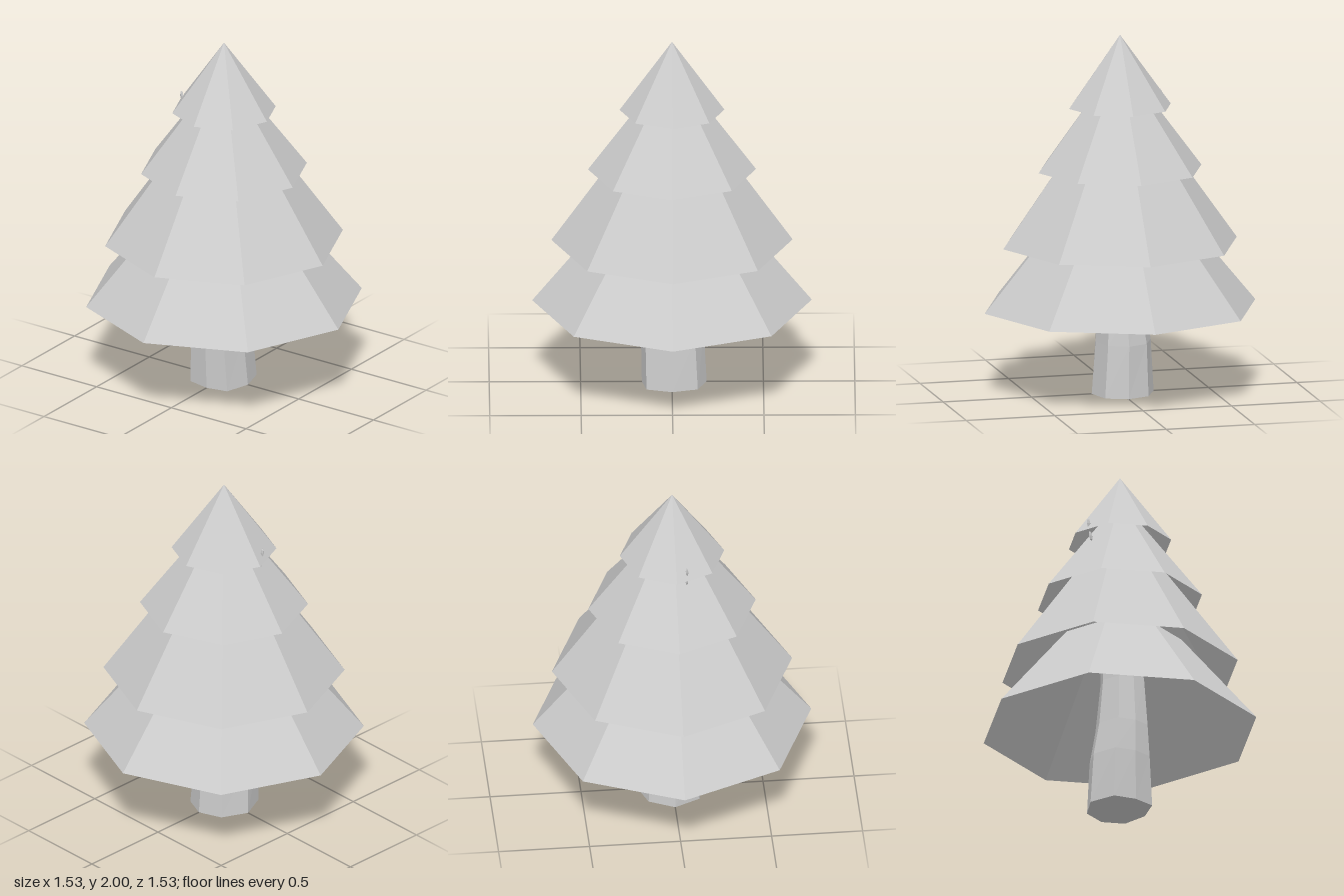
import * as THREE from 'three';

const material = new THREE.MeshStandardMaterial({ color: 0xcccccc, flatShading: true, side: THREE.DoubleSide });

// Open eight-sided skirts: [rim y, rim radius, top y, top radius]
const tiers = [
  [0.48, 0.765, 0.99, 0.345],
  [0.835, 0.66, 1.42, 0.245],
  [1.25, 0.46, 1.72, 0.11],
  [1.6, 0.287, 2.0, 0],
];

// Trunk outline at the ground, as x, z corners
const outline = [
  [0, 0.165], [0.12, 0.14], [0.16, 0], [0.12, -0.14],
  [0, -0.19], [-0.125, -0.14], [-0.19, 0], [-0.125, 0.14],
];

// Trunk rings: [y, x scale, z scale, x offset, z offset]
const rings = [
  [0, 1, 1, 0, 0],
  [0.29, 0.89, 0.97, -0.007, 0.01],
  [0.48, 0.76, 0.86, 0, 0.018],
  [0.75, 0.66, 0.7, 0.01, 0.01],
  [1.05, 0.55, 0.55, 0, 0],
];

function trunkGeometry() {
  const n = outline.length;
  const positions = [];
  const index = [];
  for (const [y, sx, sz, ox, oz] of rings) {
    for (const [x, z] of outline) positions.push(x * sx + ox, y, z * sz + oz);
  }
  for (let r = 0; r < rings.length - 1; r++) {
    for (let i = 0; i < n; i++) {
      const a = r * n + i;
      const b = r * n + ((i + 1) % n);
      index.push(a, b, b + n, a, b + n, a + n);
    }
  }
  // End caps
  const top = (rings.length - 1) * n;
  for (let i = 1; i < n - 1; i++) {
    index.push(0, i + 1, i, top, top + i, top + i + 1);
  }
  const geometry = new THREE.BufferGeometry();
  geometry.setAttribute('position', new THREE.Float32BufferAttribute(positions, 3));
  geometry.setIndex(index);
  geometry.computeVertexNormals();
  return geometry;
}

export function createModel() {
  const tree = new THREE.Group();
  tree.name = 'pineTree';

  const trunk = new THREE.Mesh(trunkGeometry(), material);
  trunk.name = 'trunk';
  tree.add(trunk);

  tiers.forEach(([y0, r0, y1, r1], i) => {
    const skirt = new THREE.Mesh(new THREE.CylinderGeometry(r1, r0, y1 - y0, 8, 1, true), material);
    skirt.position.y = (y0 + y1) / 2;
    skirt.name = `foliageTier${i + 1}`;
    tree.add(skirt);
  });

  // Two tiny buds on the upper foliage
  for (const [x, y, tilt] of [[-0.24, 1.645, 0.1], [-0.227, 1.572, 0.2]]) {
    const bud = new THREE.Mesh(new THREE.SphereGeometry(1, 6, 4), material);
    bud.scale.set(0.011, 0.028, 0.008);
    bud.position.set(x, y, 0.06);
    bud.rotation.z = tilt;
    bud.name = 'bud';
    tree.add(bud);
  }
  return tree;
}
